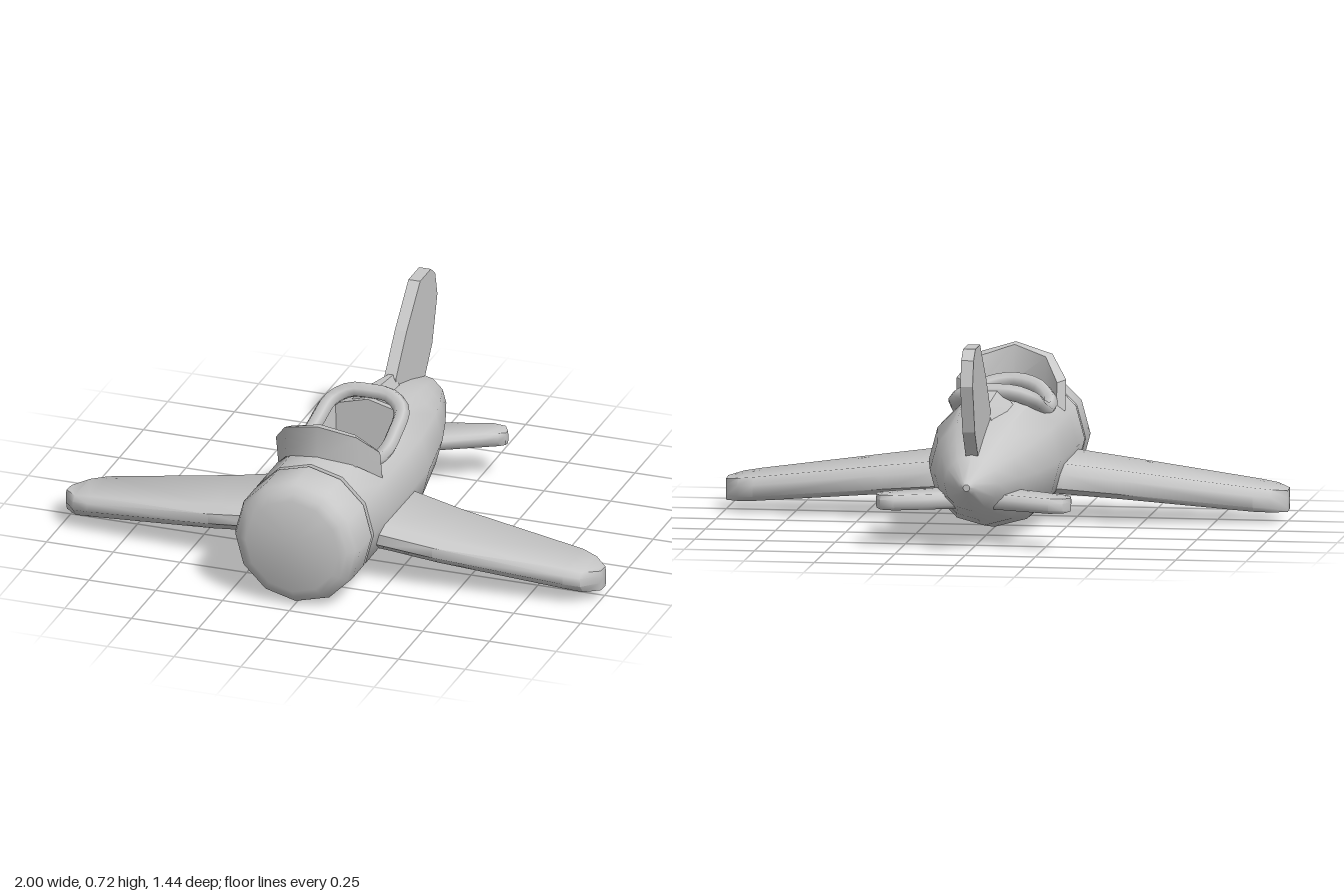
import * as THREE from 'three';
import { toCreasedNormals } from 'three/addons/utils/BufferGeometryUtils.js';

const grey = new THREE.MeshStandardMaterial({ color: 0xc8c8c8 });
grey.name = 'plain grey';

const AXIS_Y = 0.24; // height of the fuselage axis

// Closed solid through a list of rings with equal point counts
function loft(rings, crease = 0.7, loop = false) {
  const n = rings[0].length, pos = rings.flat(2), tris = [];
  const count = loop ? rings.length : rings.length - 1;
  for (let i = 0; i < count; i++) {
    const a = i * n, b = ((i + 1) % rings.length) * n;
    for (let j = 0; j < n; j++) {
      const k = (j + 1) % n;
      tris.push([a + j, b + j, b + k], [a + j, b + k, a + k]);
    }
  }
  if (!loop) {
    [0, rings.length - 1].forEach((r, end) => {
      const c = pos.length / 3;
      for (let d = 0; d < 3; d++) pos.push(rings[r].reduce((s, p) => s + p[d], 0) / n);
      for (let j = 0; j < n; j++) {
        const p = r * n + j, q = r * n + (j + 1) % n;
        tris.push(end ? [c, q, p] : [c, p, q]);
      }
    });
  }
  // Turn the faces outward if the enclosed volume comes out negative
  const v = i => new THREE.Vector3().fromArray(pos, i * 3);
  const volume = tris.reduce((s, [a, b, c]) => s + v(a).dot(v(b).cross(v(c))), 0);
  const geo = new THREE.BufferGeometry();
  geo.setAttribute('position', new THREE.Float32BufferAttribute(pos, 3));
  geo.setIndex(tris.flatMap(t => (volume < 0 ? [t[0], t[2], t[1]] : t)));
  return toCreasedNormals(geo, crease);
}

// Twelve-sided hull ring with a movable rim point on each upper edge;
// an open ring sinks the points between the rims to the cockpit floor
function hullRing(z, r, t = 0.5, open = false) {
  const at = deg => {
    const a = deg * Math.PI / 180;
    return [r * Math.sin(a), AXIS_Y + r * Math.cos(a), z];
  };
  const p30 = at(30), p60 = at(60);
  const rim = p30.map((c, i) => c + (p60[i] - c) * t);
  const half = [open ? [0.115, 0.2, z] : p30, rim, p60, at(90), at(120), at(150)];
  const mirrored = half.map(([x, y, w]) => [-x, y, w]).reverse();
  return [open ? [0, 0.18, z] : at(0), ...half, at(180), ...mirrored];
}

// Wing-like surface from stations [x, zFront, zBack, yTop, thickness]
const SECTION = [[0.1, 0], [0.9, 0.06], [1, 0.35], [1, 0.8], [0.9, 1], [0.17, 0.95], [0, 0.55], [0, 0.2]];
function wing(stations, side) {
  return loft(stations.map(([x, zf, zb, y, h]) =>
    SECTION.map(([u, v]) => [side * x, y - v * h, zf + u * (zb - zf)])), 0.95);
}

export function createModel() {
  const model = new THREE.Group();
  const add = (name, geo) => {
    const mesh = new THREE.Mesh(geo, grey);
    mesh.name = name;
    model.add(mesh);
  };

  // Fuselage with a sunken cockpit
  add('fuselage', loft([
    hullRing(0.53, 0.225), hullRing(0.525, 0.235),
    hullRing(0.36, 0.235, 0.05), hullRing(0.36, 0.235, 0.05, true),
    hullRing(0.28, 0.235, 0.45, true), hullRing(0.18, 0.235, 0.55, true),
    hullRing(0.08, 0.235, 0.45, true),
    hullRing(-0.06, 0.233, 0.05, true), hullRing(-0.06, 0.233, 0.05),
    hullRing(-0.3, 0.193), hullRing(-0.45, 0.15), hullRing(-0.6, 0.098),
    hullRing(-0.7, 0.03), hullRing(-0.72, 0.012),
  ]));

  // Engine cowling
  add('cowling', loft([
    [0.72, 0.175], [0.708, 0.2], [0.685, 0.225], [0.66, 0.235], [0.545, 0.235], [0.535, 0.225],
  ].map(([z, r]) => hullRing(z, r))));

  // Main wings and tailplanes
  for (const side of [1, -1]) {
    const label = side > 0 ? 'left' : 'right';
    add(label + 'Wing', wing([
      [0.1, 0.445, 0.03, 0.238, 0.122], [0.23, 0.44, 0.045, 0.222, 0.115],
      [0.42, 0.432, 0.085, 0.197, 0.108], [0.89, 0.382, 0.142, 0.137, 0.09],
      [0.95, 0.368, 0.172, 0.128, 0.086], [1, 0.3, 0.235, 0.118, 0.08],
    ], side));
    add(label + 'Tailplane', wing([
      [0.05, -0.34, -0.535, 0.195, 0.058], [0.16, -0.405, -0.572, 0.195, 0.058],
      [0.275, -0.475, -0.61, 0.194, 0.057], [0.325, -0.508, -0.6, 0.193, 0.055],
      [0.345, -0.53, -0.56, 0.191, 0.05],
    ], side));
  }

  // Tail fin
  const finShape = new THREE.Shape([
    [0.29, 0.455], [0.4, 0.59], [0.54, 0.725], [0.65, 0.725], [0.695, 0.69],
    [0.718, 0.6], [0.665, 0.43], [0.59, 0.335], [0.55, 0.28], [0.29, 0.35],
  ].map(([z, y]) => new THREE.Vector2(z, y)));
  const fin = new THREE.ExtrudeGeometry(finShape, { depth: 0.044, bevelEnabled: false });
  fin.translate(0, 0, -0.022).rotateY(Math.PI / 2);
  add('tailFin', fin);

  // Low spine between cockpit and fin
  add('spine', loft([[-0.09, 0.1, 0.503, 0.42], [-0.31, 0.04, 0.463, 0.4]].map(([z, w, top, base]) =>
    [[-w, base, z], [-w * 0.2, top, z], [w * 0.2, top, z], [w, base, z]])));

  // Padded rim round the cockpit
  const rimHalf = [[0.075, 0.488, -0.085], [0.132, 0.46, -0.045], [0.147, 0.418, 0.07],
    [0.15, 0.394, 0.18], [0.143, 0.412, 0.29], [0.09, 0.45, 0.355]];
  const rimPath = new THREE.CatmullRomCurve3([
    ...rimHalf, [0, 0.465, 0.38],
    ...rimHalf.map(([x, y, z]) => [-x, y, z]).reverse(), [0, 0.492, -0.09],
  ].map(p => new THREE.Vector3(...p)), true, 'centripetal');
  add('cockpitRim', new THREE.TubeGeometry(rimPath, 42, 0.029, 6, true));

  // Wraparound windscreen: stations [x, yLow, zLow, yHigh, zHigh]
  const screenHalf = [[0, 0.46, 0.46, 0.592, 0.46], [0.135, 0.435, 0.41, 0.555, 0.425], [0.195, 0.365, 0.325, 0.475, 0.35]];
  const screen = [...screenHalf.slice(1).reverse().map(([x, ...r]) => [-x, ...r]), ...screenHalf];
  add('windscreen', loft(screen.map(([x, yl, zl, yh, zh]) => [
    [x, yl, zl], [x, yh, zh], [x * 0.86, yh - 0.006, zh - 0.035], [x * 0.86, yl, zl - 0.035],
  ])));

  return model;
}
